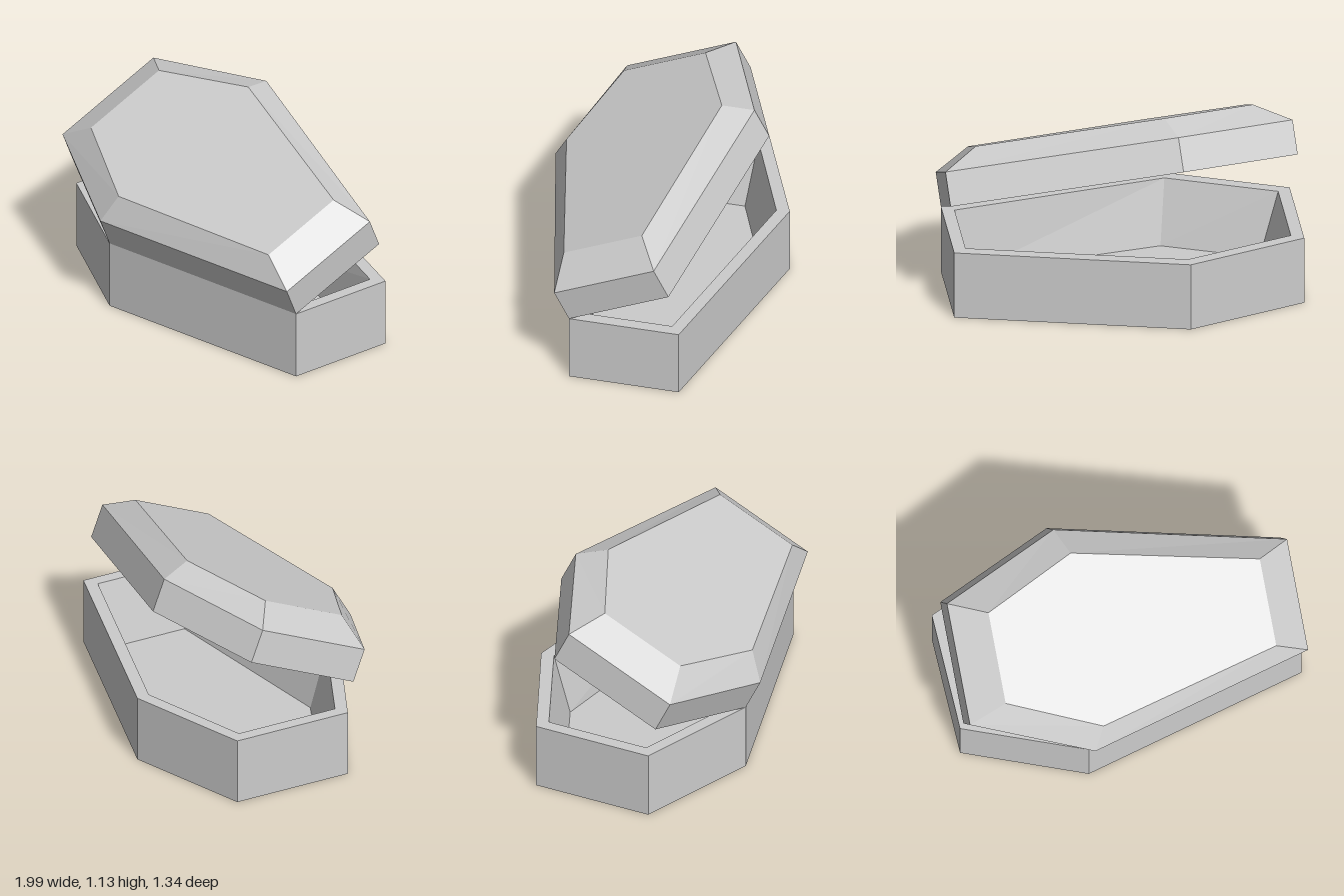
import * as THREE from 'three';

const CENTRE_Z = -0.04;

// Six-sided ring at height y, mirrored across its long axis.
// half lists [x, halfWidth] at the left end, the shoulder and the right end.
function ring(half, y) {
  const front = half.map(([x, w]) => [x, y, CENTRE_Z + w]);
  const back = half.map(([x, w]) => [x, y, CENTRE_Z - w]).reverse();
  return [...front, ...back];
}

// Faceted shell through successive rings, closed at both ends
function shell(rings) {
  const n = rings[0].length;
  const index = [];
  for (let r = 0; r < rings.length - 1; r++) {
    for (let i = 0; i < n; i++) {
      const j = (i + 1) % n;
      const a = r * n + i, b = r * n + j, c = b + n, d = a + n;
      index.push(a, b, c, a, c, d);
    }
  }
  const last = (rings.length - 1) * n;
  for (let i = 1; i < n - 1; i++) {
    index.push(0, i + 1, i);
    index.push(last, last + i, last + i + 1);
  }
  const geo = new THREE.BufferGeometry();
  geo.setAttribute('position', new THREE.Float32BufferAttribute(rings.flat(2), 3));
  geo.setIndex(index);
  const flat = geo.toNonIndexed();
  flat.computeVertexNormals();
  return flat;
}

export function createModel() {
  const model = new THREE.Group();
  model.name = 'openCasket';
  const grey = new THREE.MeshStandardMaterial({ color: 0xcccccc });
  grey.name = 'lightGrey';

  const outer = [[-1, 0.345], [-0.33, 0.63], [0.96, 0.315]];
  const lip = [[-0.93, 0.3], [-0.322, 0.555], [0.89, 0.26]];
  const narrow = [[-0.8, 0.258], [-0.28, 0.492], [0.766, 0.247]];
  const floor = [[-0.82, 0.25], [-0.29, 0.47], [0.8, 0.235]];
  const height = 0.395;

  // Hollow box: up the outside, over the lip, down to the floor
  const base = new THREE.Mesh(shell([
    ring(outer, 0), ring(outer, height), ring(lip, height), ring(floor, 0.02),
  ]), grey);
  base.name = 'base';
  model.add(base);

  // Hollow lid: down the inside, over the lip, up the wall and bevel
  const lidGeometry = shell([
    ring(narrow, 0.285), ring(lip, 0), ring(outer, 0), ring(outer, 0.195), ring(narrow, 0.311),
  ]);

  // Lid swings open about the long front edge
  const hinge = new THREE.Vector3(-0.33, 0, CENTRE_Z + 0.63);
  const edgeEnd = new THREE.Vector3(0.96, 0, CENTRE_Z + 0.315);
  lidGeometry.translate(-hinge.x, 0, -hinge.z);
  const lid = new THREE.Mesh(lidGeometry, grey);
  lid.name = 'lid';
  lid.position.set(hinge.x, height, hinge.z);
  const axis = edgeEnd.sub(hinge).normalize();
  lid.quaternion.setFromAxisAngle(axis, THREE.MathUtils.degToRad(25));
  model.add(lid);

  return model;
}
